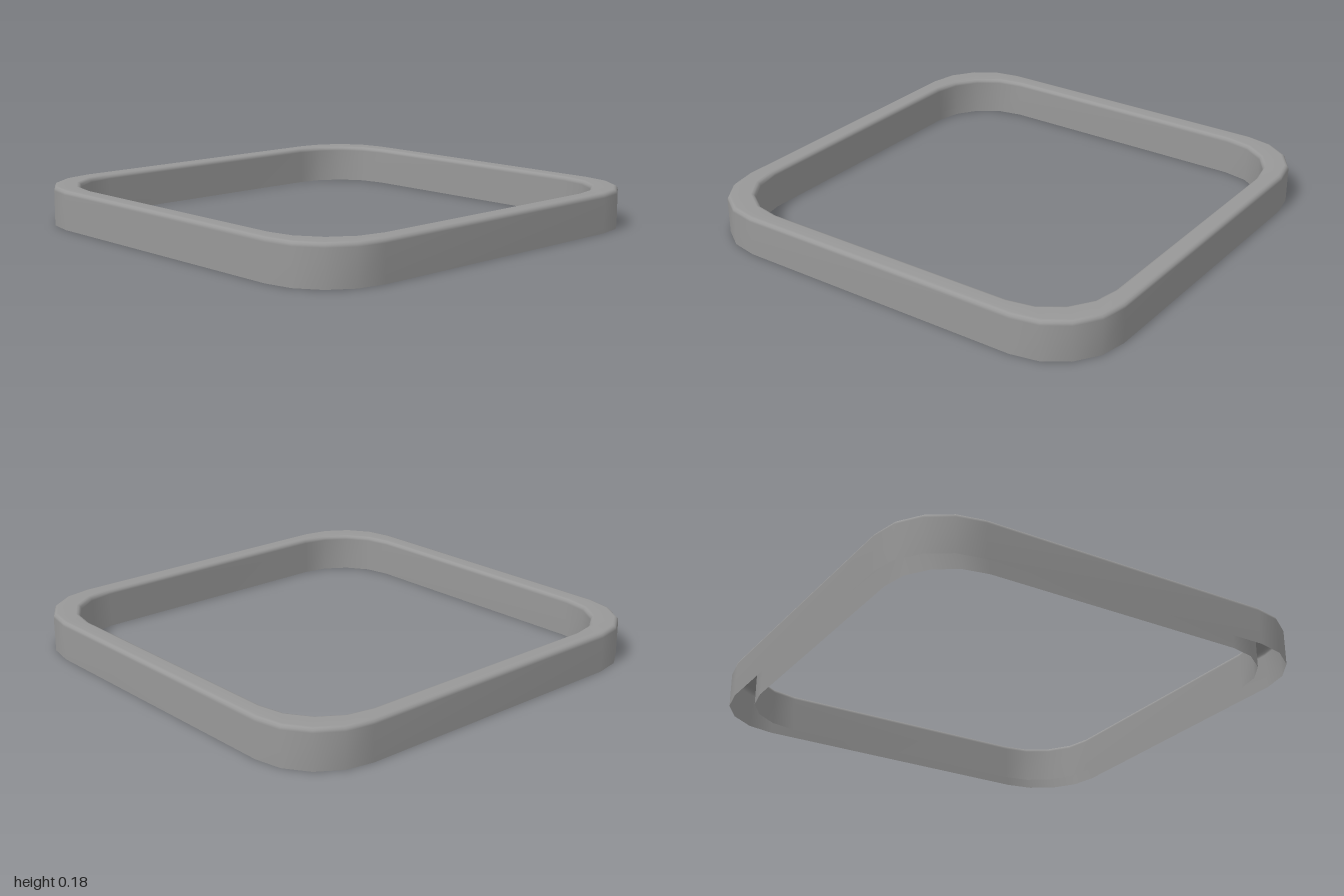
import * as THREE from 'three';

const HEIGHT = 0.178, BEVEL = 0.02, CORNER_STEPS = 4, BEVEL_STEPS = 3;
const OUTER = { half: 1, radius: 0.32 };
const INNER = { half: 0.907, radius: 0.3 };

// Rounded square at height y, shrunk by inset (negative grows it)
function roundedSquare({ half, radius }, inset, y) {
  const points = [], centre = half - radius, r = radius - inset;
  for (let corner = 0; corner < 4; corner++) {
    const mid = (corner + 0.5) * Math.PI / 2;
    const cx = Math.sign(Math.cos(mid)) * centre, cz = Math.sign(Math.sin(mid)) * centre;
    for (let i = 0; i <= CORNER_STEPS; i++) {
      const a = (corner + i / CORNER_STEPS) * Math.PI / 2;
      points.push([cx + r * Math.cos(a), y, cz + r * Math.sin(a)]);
    }
  }
  return points;
}

// Skin a series of closed loops; area-weighted normals keep the broad faces flat
function loft(loops) {
  const n = loops[0].length, index = [];
  for (let j = 0; j < loops.length - 1; j++) {
    for (let i = 0; i < n; i++) {
      const a = j * n + i, b = j * n + (i + 1) % n;
      index.push(a, a + n, b, b, a + n, b + n);
    }
  }
  const geometry = new THREE.BufferGeometry();
  geometry.setAttribute('position', new THREE.Float32BufferAttribute(loops.flat(2), 3));
  geometry.setIndex(index);
  geometry.computeVertexNormals();
  return geometry;
}

export function createModel() {
  // Section: up the outer wall, over the softened top, down the inner wall; open below
  const loops = [roundedSquare(OUTER, 0, 0)];
  const bevel = (i) => {
    const a = i / BEVEL_STEPS * Math.PI / 2;
    return [BEVEL * (1 - Math.cos(a)), HEIGHT - BEVEL * (1 - Math.sin(a))];
  };
  for (let i = 0; i <= BEVEL_STEPS; i++) {
    const [inset, y] = bevel(i);
    loops.push(roundedSquare(OUTER, inset, y));
  }
  for (let i = BEVEL_STEPS; i >= 0; i--) {
    const [inset, y] = bevel(i);
    loops.push(roundedSquare(INNER, -inset, y));
  }
  loops.push(roundedSquare(INNER, 0, 0));

  const frame = new THREE.Mesh(
    loft(loops),
    new THREE.MeshStandardMaterial({ color: 0x989898, side: THREE.DoubleSide })
  );
  frame.name = 'roundedSquareFrame';

  const model = new THREE.Group();
  model.name = 'squareRing';
  model.add(frame);
  return model;
}
